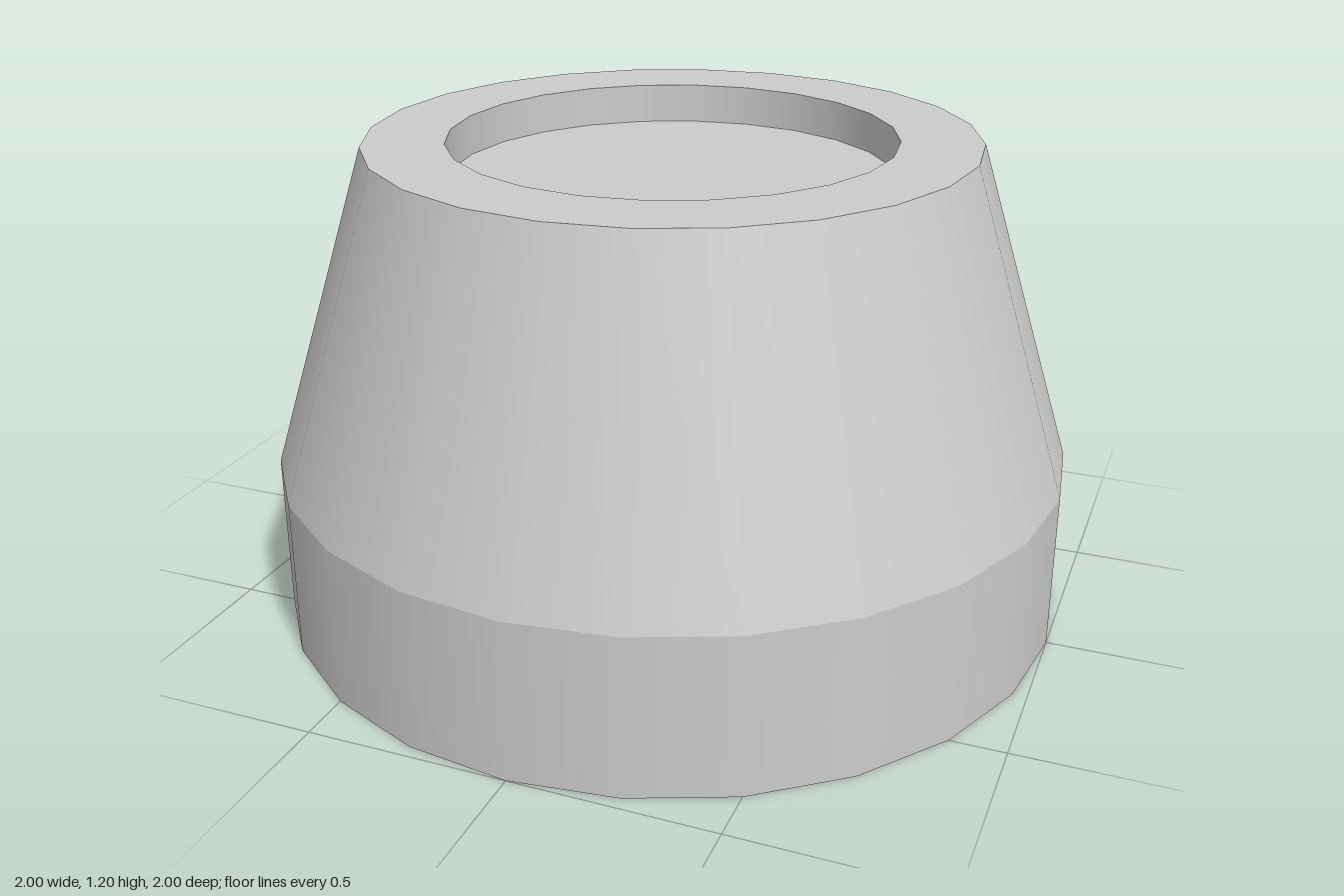
import * as THREE from 'three';

const SIDES = 24;

// One ring of surface between two profile points [radius, height]; separate rings keep the edges sharp
function ring(name, from, to, material) {
  const points = [from, to].map(([r, y]) => new THREE.Vector2(r, y));
  const mesh = new THREE.Mesh(new THREE.LatheGeometry(points, SIDES), material);
  mesh.name = name;
  return mesh;
}

// Flat disc closing a recess, facing up or down
function disc(name, radius, y, facing, material) {
  const geometry = new THREE.CircleGeometry(radius, SIDES);
  geometry.rotateX(-facing * Math.PI / 2);
  const mesh = new THREE.Mesh(geometry, material);
  mesh.name = name;
  mesh.position.y = y;
  return mesh;
}

export function createModel() {
  const group = new THREE.Group();
  group.name = 'taperedBase';
  const material = new THREE.MeshStandardMaterial({ color: 0xcccccc });

  group.add(
    // Underside recess and rim
    disc('bottomRecessFloor', 0.8, 0.1, -1, material),
    ring('bottomRecessWall', [0.8, 0.1], [0.8, 0], material),
    ring('bottomRim', [0.8, 0], [1, 0], material),
    // Outer body
    ring('lowerBand', [1, 0], [1, 0.4], material),
    ring('taperedSide', [1, 0.4], [0.75, 1.2], material),
    // Top rim and recess
    ring('topRim', [0.75, 1.2], [0.55, 1.2], material),
    ring('topRecessWall', [0.55, 1.2], [0.55, 1.1], material),
    disc('topRecessFloor', 0.55, 1.1, 1, material),
  );
  return group;
}
